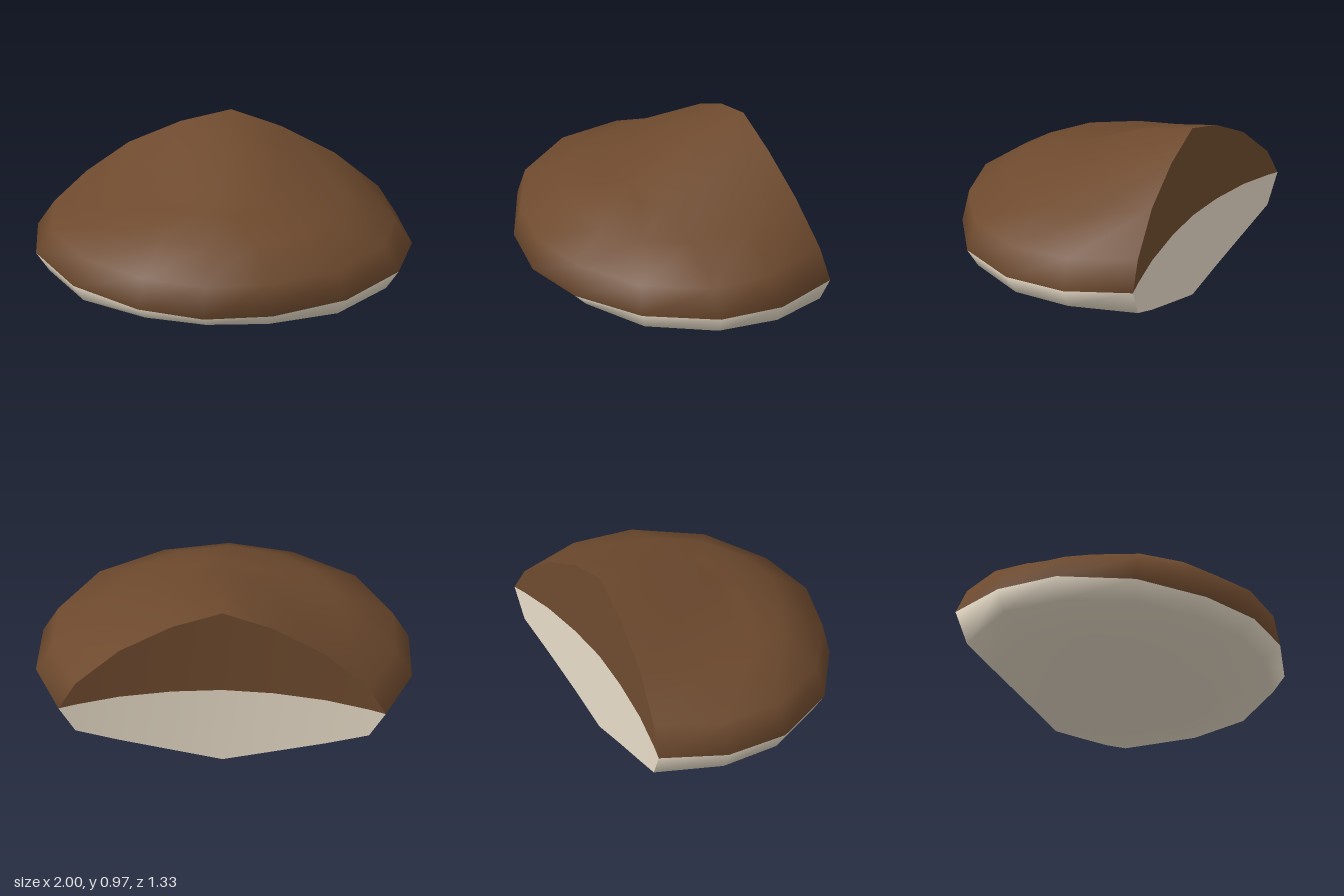
import * as THREE from 'three';
import { mergeVertices } from 'three/addons/utils/BufferGeometryUtils.js';

// Half contours from the +x back corner round to the front tip, listed from keel to ridge.
const KEEL = [[0, 0, -.595], [0, .08, -.27], [0, .137, .02], [0, .137, .02], [0, .137, .02], [0, .137, .02]];
const LOWER = [
  KEEL,
  [[.27, .065, -.605], [.3, .105, -.28], [.26, .14, 0], [.17, .148, .06], [.09, .148, .09], [0, .148, .1]],
  [[.55, .14, -.625], [.65, .172, -.3], [.6, .182, 0], [.45, .19, .17], [.22, .19, .26], [0, .19, .29]],
  [[.78, .22, -.655], [.94, .26, -.32], [.9, .26, .01], [.68, .26, .34], [.33, .26, .51], [0, .26, .56]],
];
const RIM = [[.87, .375, -.67], [1, .37, -.32], [.97, .37, .03], [.73, .36, .38], [.36, .345, .59], [0, .34, .66]];
const UPPER = [
  [[.78, .53, -.655], [.91, .52, -.3], [.89, .515, .03], [.68, .515, .36], [.34, .515, .56], [0, .515, .63]],
  [[.55, .73, -.625], [.65, .66, -.29], [.6, .645, .02], [.47, .645, .24], [.25, .65, .37], [0, .655, .42]],
  [[.27, .88, -.605], [.3, .81, -.28], [.28, .725, .03], [.2, .72, .13], [.1, .725, .18], [0, .73, .19]],
  [[0, .97, -.595], [0, .9, -.27], [0, .75, .09], [0, .75, .09], [0, .75, .09], [0, .75, .09]],
];

// Mirror a half contour into a full one.
const mirror = half => [...half, ...half.slice(0, -1).reverse().map(([x, y, z]) => [-x, y, z])];

// Smooth surface through rows of equal length; split = number of row bands in the first material.
function loft(rows, split, materials, name) {
  const n = rows[0].length, index = [];
  for (let i = 0; i < rows.length - 1; i++) {
    for (let j = 0; j < n - 1; j++) {
      const a = i * n + j, b = a + 1, d = a + n, c = d + 1;
      index.push(a, d, b, b, d, c);
    }
  }
  let geo = new THREE.BufferGeometry();
  geo.setAttribute('position', new THREE.Float32BufferAttribute(rows.flat(2), 3));
  geo.setIndex(index);
  geo = mergeVertices(geo);
  const cut = split * (n - 1) * 6;
  geo.addGroup(0, cut, 0);
  geo.addGroup(cut, index.length - cut, 1);
  geo.computeVertexNormals();
  const mesh = new THREE.Mesh(geo, materials);
  mesh.name = name;
  return mesh;
}

export function createModel() {
  const cream = new THREE.MeshStandardMaterial({ color: 0xe8dcc8 });
  cream.name = 'cream';
  const brown = new THREE.MeshStandardMaterial({ color: 0x6e4a2e });
  brown.name = 'brown';
  const materials = [cream, brown];
  const group = new THREE.Group();
  group.name = 'roundedWedge';

  // Rounded shell, brown above the rim and cream below
  const shellRows = [...LOWER, RIM, ...UPPER].map(mirror);
  group.add(loft(shellRows, LOWER.length, materials, 'shell'));

  // Concave back wall: lower edge, arched colour seam, upper edge
  const bottom = [RIM, ...LOWER.slice().reverse()].map(r => r[0]);
  const top = [RIM, ...UPPER].map(r => r[0]);
  const seam = top.map(([x, , z]) => [x, .375 + .085 * (1 - (x / .87) ** 2), z]);
  const wallRows = [bottom, seam, top].map(r => mirror(r).reverse());
  group.add(loft(wallRows, 1, materials, 'backWall'));

  return group;
}
